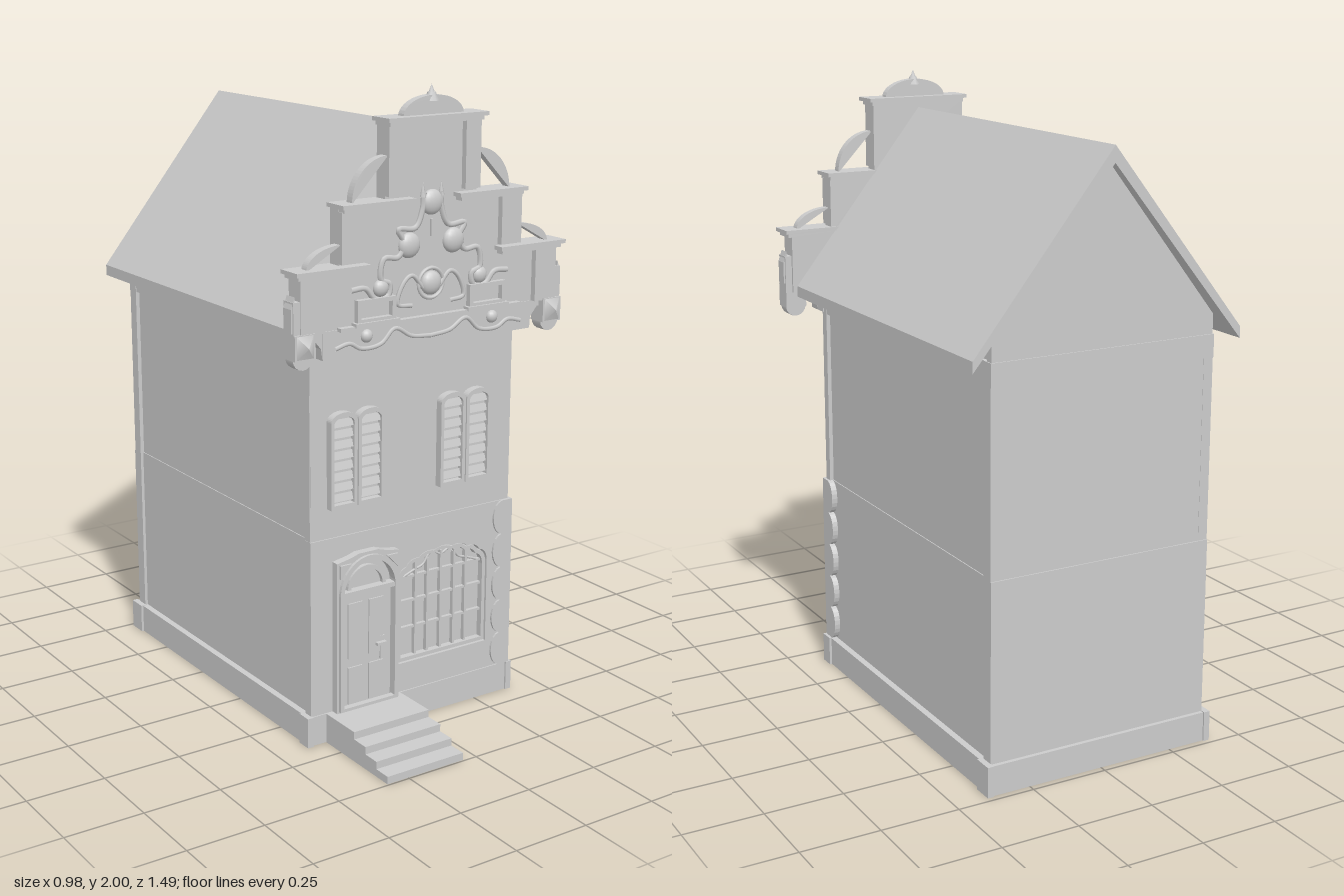
import * as THREE from 'three';

export function createModel() {
  const root = new THREE.Group();
  root.name = 'gabledTownHouse';
  const mat = new THREE.MeshStandardMaterial({ color: 0xcccccc, side: THREE.DoubleSide });
  const add = (name, geo, x = 0, y = 0, z = 0) => {
    const m = new THREE.Mesh(geo, mat);
    m.name = name;
    m.position.set(x, y, z);
    root.add(m);
    return m;
  };
  // box given by its limits on each axis
  const box = (name, x0, x1, y0, y1, z0, z1) =>
    add(name, new THREE.BoxGeometry(Math.abs(x1 - x0), y1 - y0, z1 - z0), (x0 + x1) / 2, (y0 + y1) / 2, (z0 + z1) / 2);
  const shape = (pts) => new THREE.Shape(pts.map(([x, y]) => new THREE.Vector2(x, y)));
  const slab = (name, s, z0, z1) =>
    add(name, new THREE.ExtrudeGeometry(s, { depth: z1 - z0, bevelEnabled: false, curveSegments: 10 }), 0, 0, z0);
  const mirrored = (half) => shape([...half, ...half.slice().reverse().map(([x, y]) => [-x, y])]);
  const tube = (name, pts, r, z) => add(name, new THREE.TubeGeometry(
    new THREE.CatmullRomCurve3(pts.map(([x, y]) => new THREE.Vector3(x, y, z))), pts.length * 6, r, 6));
  const boss = (name, x, y, z, r, depth) => add(name, new THREE.SphereGeometry(r, 16, 10), x, y, z).scale.z = depth / r;
  const sides = (fn) => [-1, 1].forEach(fn);
  // rectangle whose top bulges up by an elliptical arch
  const arched = (x0, x1, y0, ySpring, rise) => {
    const s = new THREE.Shape().moveTo(x0, y0).lineTo(x1, y0).lineTo(x1, ySpring);
    s.absellipse((x0 + x1) / 2, ySpring, (x1 - x0) / 2, rise, 0, Math.PI, false, 0);
    return s.closePath();
  };
  const framed = (outer, inner) => { outer.holes.push(inner); return outer; };

  // Plinth ring, open underneath
  box('plinthFront', -0.39, 0.39, 0, 0.095, 0.385, 0.418);
  box('plinthBack', -0.39, 0.39, 0, 0.095, -0.73, -0.695);
  sides((s) => {
    box('plinthSide', s * 0.355, s * 0.388, 0, 0.095, -0.72, 0.41);
    box('plinthFrontCorner', s * 0.375, s * 0.396, 0, 0.097, 0.375, 0.424);
    box('plinthBackCorner', s * 0.375, s * 0.396, 0, 0.097, -0.735, -0.67);
  });

  // Side and back walls
  sides((s) => {
    box('lowerSideWall', s * 0.345, s * 0.367, 0.09, 0.66, -0.7, 0.4);
    box('upperSideWall', s * 0.345, s * 0.364, 0.66, 1.35, -0.7, 0.4);
    box('sideFrieze', s * 0.35, s * 0.375, 1.23, 1.3, -0.71, 0.41);
    box('frontCornerStrip', s * 0.345, s * 0.377, 0.09, 1.3, 0.38, 0.409);
    box('backCornerStrip', s * 0.345, s * 0.377, 0.09, 1.3, -0.714, -0.675);
  });
  slab('backWall', mirrored([[0.374, 0.66], [0.374, 1.36], [0, 1.83]]), -0.713, -0.69);
  box('lowerBackWall', -0.377, 0.377, 0.09, 0.66, -0.717, -0.69);
  box('backFrieze', -0.377, 0.377, 1.23, 1.3, -0.717, -0.7);

  // Shop window outline with a lobed head, shrunk by an inset
  const lobes = [[0.175, 0.47], [0.145, 0.51], [0.095, 0.532], [0.035, 0.545], [-0.035, 0.545], [-0.095, 0.532], [-0.145, 0.51], [-0.175, 0.47]];
  const shopShape = (inset) => {
    const f = 1 - inset / 0.175, P = ([x, y]) => [0.118 + x * f, y - inset * 0.8];
    const s = new THREE.Shape().moveTo(0.118 - 0.175 * f, 0.19 + inset).lineTo(0.118 + 0.175 * f, 0.19 + inset);
    s.lineTo(...P(lobes[0]));
    for (let i = 1; i < lobes.length; i++) {
      const a = lobes[i - 1], b = lobes[i], mx = (a[0] + b[0]) / 2, my = (a[1] + b[1]) / 2;
      s.quadraticCurveTo(...P([mx * 1.07, my + 0.017]), ...P(b));
    }
    return s.closePath();
  };

  // Front walls
  const lower = shape([[-0.378, 0.09], [0.378, 0.09], [0.378, 0.66], [-0.378, 0.66]]);
  slab('lowerFacade', framed(lower, shopShape(0)), 0.385, 0.414);
  box('upperFacade', -0.375, 0.375, 0.66, 1.33, 0.385, 0.41);
  box('shopWindowPane', -0.07, 0.305, 0.18, 0.57, 0.38, 0.39);
  slab('shopWindowFrame', framed(shopShape(0.004), shopShape(0.016)), 0.39, 0.411);
  [0.02, 0.066, 0.118, 0.17, 0.216].forEach((x, i) =>
    box('shopWindowMullion', x - 0.004, x + 0.004, 0.2, 0.52 + (i === 2 ? 0.015 : 0), 0.388, 0.404));
  [0.3, 0.39, 0.47].forEach((y) => box('shopWindowRail', -0.045, 0.28, y - 0.004, y + 0.004, 0.388, 0.402));
  sides((s) => tube('shopWindowTracery', [[0.118, 0.52], [0.118 + s * 0.04, 0.535], [0.118 + s * 0.07, 0.5], [0.118 + s * 0.1, 0.49], [0.118 + s * 0.14, 0.475]], 0.004, 0.4));

  // Scalloped quoin wrapping one front corner
  const quoin = () => {
    const s = new THREE.Shape().moveTo(0.386, 0.095).lineTo(0.386, 0.66).lineTo(0.345, 0.66);
    const h = 0.113;
    for (let i = 0; i < 5; i++) {
      const y = 0.66 - i * h;
      s.bezierCurveTo(0.302, y - 0.01, 0.302, y - h + 0.01, 0.345, y - h);
    }
    return s.closePath();
  };
  slab('frontQuoin', quoin(), 0.4, 0.421);
  const sideQuoin = slab('sideQuoin', quoin(), 0, 0.022);
  sideQuoin.rotation.y = -Math.PI / 2;
  sideQuoin.position.set(0.386, 0, 0.035);

  // Entrance steps
  [[0.095, 0.57], [0.071, 0.63], [0.047, 0.687], [0.023, 0.745]].forEach(([y, z]) =>
    box('step', -0.325, -0.047, y - 0.024, y, 0.41, z));

  // Doorway
  const dx = -0.185;
  const surround = shape([[-0.3, 0.095], [-0.07, 0.095], [-0.07, 0.585], [-0.12, 0.594], [-0.15, 0.603], [-0.22, 0.603], [-0.25, 0.594], [-0.3, 0.585]]);
  slab('doorSurround', framed(surround, arched(dx - 0.096, dx + 0.096, 0.1, 0.48, 0.1)), 0.41, 0.44);
  slab('doorArchMoulding', framed(arched(dx - 0.108, dx + 0.108, 0.1, 0.48, 0.114), arched(dx - 0.094, dx + 0.094, 0.11, 0.48, 0.098)), 0.43, 0.45);
  box('doorLeaf', dx - 0.095, dx + 0.095, 0.095, 0.475, 0.41, 0.422);
  box('doorLintel', dx - 0.1, dx + 0.1, 0.472, 0.487, 0.41, 0.446);
  [0.17, 0.32].forEach((y, i) => sides((s) =>
    box('doorPanel', dx + s * 0.012, dx + s * 0.065, y - 0.06, y + (i ? 0.12 : 0.06), 0.42, 0.427)));
  box('doorLockPlate', -0.131, -0.115, 0.235, 0.31, 0.42, 0.428);
  box('doorHandle', -0.15, -0.115, 0.285, 0.294, 0.428, 0.442);
  slab('transomPane', arched(dx - 0.095, dx + 0.095, 0.48, 0.481, 0.095), 0.41, 0.418);
  slab('transomArch', framed(arched(dx - 0.07, dx + 0.07, 0.485, 0.487, 0.07), arched(dx - 0.058, dx + 0.058, 0.486, 0.488, 0.056)), 0.415, 0.432);
  sides((s) => slab('doorSpandrel', shape([[dx + s * 0.106, 0.578], [dx + s * 0.106, 0.535], [dx + s * 0.065, 0.578]]), 0.44, 0.447));

  // Upper windows, each with a pair of louvred shutters
  [-0.221, 0.183].forEach((cx) => sides((s) => {
    const x = cx + s * 0.049, w = 0.047;
    slab('shutterFrame', framed(arched(x - w, x + w, 0.755, 1.025, 0.028), arched(x - 0.036, x + 0.036, 0.768, 1.018, 0.022)), 0.41, 0.435);
    slab('shutterBack', arched(x - 0.037, x + 0.037, 0.765, 1.018, 0.022), 0.408, 0.415);
    for (let i = 0; i < 8; i++) {
      const slat = box('shutterSlat', x - 0.036, x + 0.036, 0.775 + i * 0.033, 0.799 + i * 0.033, 0.419, 0.425);
      slat.rotation.x = -0.3;
    }
  }));

  // Pitched roof
  slab('roof', shape([[-0.45, 1.285], [-0.45, 1.32], [0, 1.88], [0.45, 1.32], [0.45, 1.285], [0, 1.83]]), -0.745, 0.445);

  // Stepped gable
  slab('gableWall', mirrored([[0.38, 1.235], [0.385, 1.27], [0.41, 1.3], [0.465, 1.3], [0.465, 1.49], [0.325, 1.49], [0.325, 1.67], [0.165, 1.67], [0.165, 1.9]]), 0.442, 0.485);
  box('gableBase', -0.38, 0.38, 1.235, 1.32, 0.4, 0.488);
  const cornice = (x0, x1, y) => {
    const d = Math.sign(x1 - x0) * 0.01;
    box('corniceTop', x0, x1, y - 0.012, y, 0.435, 0.522);
    box('corniceBed', x0 + d, x1 - d, y - 0.024, y - 0.012, 0.44, 0.513);
  };
  cornice(-0.178, 0.178, 1.915);
  const lunette = (name, cx, cy, rx, ry, a0, a1) => {
    const s = new THREE.Shape().moveTo(cx, cy);
    s.absellipse(cx, cy, rx, ry, a0, a1, false, 0);
    slab(name, s.closePath(), 0.465, 0.492);
  };
  lunette('crownArch', 0, 1.912, 0.108, 0.058, 0, Math.PI);
  sides((s) => {
    cornice(s * 0.487, s * 0.238, 1.506);
    cornice(s * 0.333, s * 0.08, 1.682);
    const from = s > 0 ? 0 : Math.PI / 2;
    lunette('lowerShoulder', s * 0.32, 1.5, 0.118, 0.067, from, from + Math.PI / 2);
    lunette('upperShoulder', s * 0.16, 1.678, 0.124, 0.13, from, from + Math.PI / 2);
    // pilasters of the three tiers
    box('topPilaster', s * 0.11, s * 0.165, 1.69, 1.895, 0.48, 0.504);
    box('middlePilaster', s * 0.25, s * 0.325, 1.51, 1.66, 0.48, 0.504);
    box('lowerPilaster', s * 0.385, s * 0.465, 1.32, 1.485, 0.48, 0.504);
    // hanging corner consoles
    box('consoleShaft', s * 0.42, s * 0.487, 1.3, 1.42, 0.45, 0.5);
    slab('consoleTip', shape([[s * 0.48, 1.435], [s * 0.492, 1.4], [s * 0.492, 1.33], [s * 0.47, 1.33]]), 0.455, 0.495);
    box('consoleBlock', s * 0.417, s * 0.487, 1.25, 1.325, 0.45, 0.507);
    add('consoleRound', new THREE.CylinderGeometry(0.035, 0.035, 0.04, 16), s * 0.452, 1.254, 0.475).rotation.x = Math.PI / 2;
    const gem = add('consoleGem', new THREE.ConeGeometry(0.042, 0.022, 4, 1).rotateY(Math.PI / 4).rotateX(Math.PI / 2), s * 0.452, 1.288, 0.517);
    gem.scale.y = 1.2;
    // small framed niches
    const frame = shape([[s * 0.135, 1.33], [s * 0.27, 1.33], [s * 0.27, 1.4], [s * 0.135, 1.4]]);
    slab('nicheFrame', framed(frame, shape([[s * 0.148, 1.343], [s * 0.257, 1.343], [s * 0.257, 1.387], [s * 0.148, 1.387]])), 0.48, 0.503);
    box('nicheSill', s * 0.125, s * 0.28, 1.322, 1.334, 0.48, 0.51);
    // scrollwork
    tube('gableScroll', [[s * 0.285, 1.43], [s * 0.235, 1.43], [s * 0.2, 1.395], [s * 0.155, 1.4], [s * 0.15, 1.435], [s * 0.18, 1.45], [s * 0.17, 1.51], [s * 0.12, 1.51], [s * 0.1, 1.55], [s * 0.12, 1.59], [s * 0.06, 1.59], [s * 0.035, 1.64], [s * 0.03, 1.69]], 0.009, 0.488);
    tube('friezeScroll', [[s * 0.34, 1.265], [s * 0.29, 1.275], [s * 0.25, 1.255], [s * 0.18, 1.26], [s * 0.13, 1.3], [s * 0.07, 1.27], [0, 1.262]], 0.007, 0.489);
    boss('friezeRosette', s * 0.23, 1.29, 0.488, 0.02, 0.016);
    boss('scrollBoss', s * 0.08, 1.54, 0.486, 0.038, 0.02);
    boss('scrollEnd', s * 0.18, 1.425, 0.486, 0.026, 0.018);
    tube('cartoucheWing', [[s * 0.03, 1.41], [s * 0.07, 1.45], [s * 0.1, 1.43], [s * 0.12, 1.37], [s * 0.07, 1.36]], 0.007, 0.488);
    // horned ears of the crest
    add('crestEar', new THREE.ConeGeometry(0.01, 0.045, 6), s * 0.033, 1.7, 0.488);
  });
  box('friezeMoulding', -0.33, 0.33, 1.315, 1.326, 0.48, 0.505);
  boss('cartoucheBoss', 0, 1.42, 0.486, 0.036, 0.02);
  add('cartoucheRing', new THREE.TorusGeometry(0.045, 0.006, 6, 24), 0, 1.42, 0.487);
  boss('crestBoss', 0, 1.66, 0.486, 0.038, 0.02);
  box('gableSlot', -0.004, 0.004, 1.56, 1.61, 0.48, 0.492);

  // Finial
  add('finialBase', new THREE.CylinderGeometry(0.012, 0.022, 0.025, 8), 0, 1.965, 0.479);
  add('finialSpike', new THREE.ConeGeometry(0.012, 0.03, 8), 0, 1.985, 0.479);

  return root;
}
